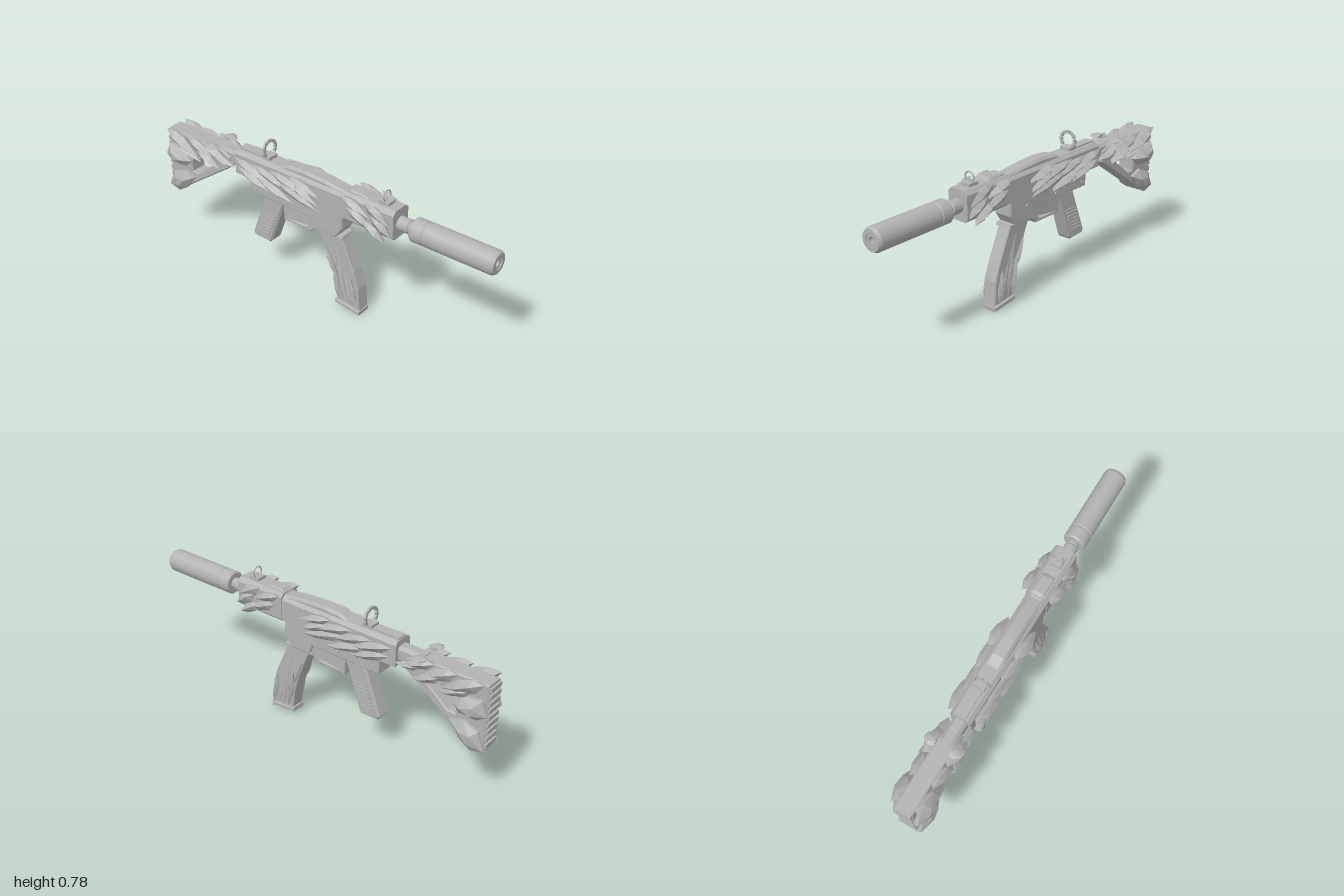
import * as THREE from 'three';
import { ConvexGeometry } from 'three/addons/geometries/ConvexGeometry.js';

export function createModel() {
  const model = new THREE.Group();
  const grey = new THREE.MeshStandardMaterial({ color: 0xb2b2b2, flatShading: true });
  grey.name = 'plain grey';

  const add = (name, geometry, parent = model) => {
    const mesh = new THREE.Mesh(geometry, grey);
    mesh.name = name;
    parent.add(mesh);
    return mesh;
  };
  const group = (name) => {
    const g = new THREE.Group();
    g.name = name;
    model.add(g);
    return g;
  };
  const toShape = (pts) => new THREE.Shape(pts.map(([x, y]) => new THREE.Vector2(x, y)));

  // Side outline extruded symmetrically across z, with bevelled edges
  const slab = (pts, half, bevel = 0.006, holes = []) => {
    const shape = toShape(pts);
    holes.forEach((h) => shape.holes.push(new THREE.Path(h.map(([x, y]) => new THREE.Vector2(x, y)))));
    const g = new THREE.ExtrudeGeometry(shape, {
      depth: 2 * (half - bevel), bevelEnabled: bevel > 0, bevelThickness: bevel,
      bevelSize: bevel, bevelOffset: -bevel, bevelSegments: 1,
    });
    return g.translate(0, 0, -(half - bevel));
  };
  // Chamfered bar running along x
  const bar = (x0, x1, y0, y1, half, top, bottom) => {
    const shape = toShape([
      [-half + bottom, y0], [half - bottom, y0], [half, y0 + bottom], [half, y1 - top],
      [half - top, y1], [-half + top, y1], [-half, y1 - top], [-half, y0 + bottom],
    ]);
    const g = new THREE.ExtrudeGeometry(shape, { depth: x1 - x0, bevelEnabled: false });
    return g.rotateY(Math.PI / 2).translate(x0, 0, 0);
  };
  const box = (w, h, d, x, y, z) => new THREE.BoxGeometry(w, h, d).translate(x, y, z);

  // Faceted feather from (ax, ay) to (bx, by), raised between z0 and z1
  const feather = ([ax, ay, bx, by, width], z0, z1, side) => {
    const dx = bx - ax, dy = by - ay, len = Math.hypot(dx, dy);
    const at = (t, s, z) => new THREE.Vector3(
      ax + dx * t - (dy / len) * s * width, ay + dy * t + (dx / len) * s * width, z * side);
    const mid = z0 + (z1 - z0) * 0.5;
    return new ConvexGeometry([
      at(0, 0, mid), at(0.22, 0.42, mid), at(0.55, 0.5, mid), at(1, 0, mid),
      at(0.65, -0.42, mid), at(0.25, -0.5, mid),
      at(0.3, 0.08, z1), at(0.62, 0.02, z1),
      at(0.12, 0, z0), at(0.4, 0.35, z0), at(0.85, 0, z0), at(0.4, -0.35, z0),
    ]);
  };
  const feathers = (name, list, z0, z1) => {
    const g = group(name);
    for (const side of [1, -1]) {
      list.forEach((f, i) => add('feather', feather(f, z0 + (i % 2) * 0.004, z1 - (i % 3) * 0.006, side), g));
    }
  };
  // Faceted rock-like plate with a smaller raised face
  const chunk = (pts, z0, z1, side) => {
    const cx = pts.reduce((s, p) => s + p[0], 0) / pts.length;
    const cy = pts.reduce((s, p) => s + p[1], 0) / pts.length;
    const v = [];
    pts.forEach(([x, y], i) => {
      v.push(new THREE.Vector3(x, y, side * z0), new THREE.Vector3(x, y, side * (z0 + 0.4 * (z1 - z0))));
      if (i % 2) v.push(new THREE.Vector3(cx + (x - cx) * 0.4, cy + (y - cy) * 0.4, side * z1));
    });
    return new ConvexGeometry(v);
  };

  // Suppressor and barrel, turned around the x axis
  const turned = (pts, sides) => new THREE.LatheGeometry(
    pts.map(([r, x]) => new THREE.Vector2(r, x)), sides).rotateZ(-Math.PI / 2).translate(0, 0.62, 0);
  add('suppressor', turned([
    [0, 0.56], [0.054, 0.56], [0.06, 0.568], [0.06, 0.625], [0.057, 0.628], [0.057, 0.634],
    [0.06, 0.637], [0.06, 0.985], [0.052, 1], [0.03, 1], [0.03, 0.994], [0.016, 0.994], [0.016, 0.95], [0, 0.95],
  ], 28));
  add('barrel', turned([[0.036, 0.45], [0.036, 0.535], [0.03, 0.54], [0.03, 0.57]], 16));

  // Receiver
  add('upperReceiver', bar(-0.5, 0.19, 0.555, 0.685, 0.056, 0.018, 0));
  add('lowerReceiver', slab([[-0.405, 0.475], [0.0, 0.475], [0.02, 0.42], [0.14, 0.42],
    [0.18, 0.48], [0.18, 0.57], [-0.405, 0.57]], 0.052));
  add('handguard', bar(0.19, 0.48, 0.545, 0.7, 0.06, 0.02, 0.016));
  add('handguardCollar', bar(0.17, 0.2, 0.555, 0.69, 0.05, 0.02, 0.01));
  add('topFairing', slab([[-0.24, 0.675], [0.19, 0.675], [0.18, 0.69], [0.07, 0.705],
    [-0.06, 0.712], [-0.16, 0.705]], 0.04, 0.012));
  add('handguardRidge', slab([[0.185, 0.69], [0.34, 0.69], [0.3, 0.71], [0.21, 0.712]], 0.035, 0.008));
  add('rearRail', box(0.15, 0.014, 0.05, -0.42, 0.686, 0));
  for (const side of [1, -1]) {
    add('ejectionSlot', box(0.06, 0.018, 0.008, -0.25, 0.525, side * 0.054));
    for (const x of [-0.37, -0.16, 0.06]) {
      add('pin', new THREE.CylinderGeometry(0.008, 0.008, 0.008, 10).rotateX(Math.PI / 2).translate(x, 0.505, side * 0.054));
    }
    add('handguardSlot', box(0.12, 0.012, 0.008, 0.3, 0.595, side * 0.061));
  }

  // Trigger and its guard
  add('triggerGuard', slab([[-0.2, 0.48], [-0.195, 0.385], [-0.02, 0.385], [0.015, 0.42], [0.015, 0.48]],
    0.04, 0.004, [[[-0.18, 0.475], [-0.035, 0.475], [-0.035, 0.42], [-0.05, 0.402], [-0.18, 0.402]]]));
  add('trigger', slab([[-0.14, 0.48], [-0.115, 0.48], [-0.118, 0.45], [-0.13, 0.42], [-0.145, 0.418], [-0.132, 0.45]], 0.012, 0.002));

  // Pistol grip with side ribs
  add('grip', slab([[-0.315, 0.48], [-0.19, 0.48], [-0.215, 0.42], [-0.285, 0.215], [-0.3, 0.2],
    [-0.4, 0.205], [-0.412, 0.225]], 0.041, 0.01));
  for (let i = 0; i < 7; i++) {
    for (const side of [1, -1]) {
      add('gripRib', box(0.08, 0.009, 0.008, -0.335 + i * 0.0075, 0.255 + i * 0.02, side * 0.042));
    }
  }

  // Curved magazine
  add('magazineCollar', slab([[0.005, 0.415], [0.18, 0.415], [0.175, 0.432], [0.01, 0.432]], 0.046, 0.003));
  add('magazine', slab([[0.025, 0.43], [0.165, 0.43], [0.2, 0.35], [0.245, 0.25], [0.275, 0.16],
    [0.285, 0.03], [0.145, 0.045], [0.13, 0.15], [0.1, 0.25], [0.065, 0.34]], 0.037, 0.005));
  add('magazineBase', slab([[0.135, 0.02], [0.285, 0.002], [0.287, 0.024], [0.137, 0.044]], 0.041, 0.003));
  feathers('magazineFeathers', [
    [0.165, 0.05, 0.13, 0.27, 0.03], [0.2, 0.05, 0.15, 0.32, 0.035], [0.235, 0.045, 0.185, 0.26, 0.035],
    [0.265, 0.04, 0.235, 0.22, 0.03], [0.13, 0.2, 0.075, 0.35, 0.025], [0.19, 0.2, 0.13, 0.38, 0.025],
  ], 0.036, 0.061);

  // Stock: tube, open frame and ribbed butt pad
  add('stockTube', bar(-0.64, -0.49, 0.575, 0.655, 0.036, 0.015, 0.015));
  add('stockFrame', slab([[-0.99, 0.3], [-0.91, 0.3], [-0.87, 0.335], [-0.55, 0.56], [-0.55, 0.62],
    [-0.62, 0.65], [-0.99, 0.65]], 0.047, 0.006,
  [[[-0.83, 0.555], [-0.64, 0.555], [-0.79, 0.44], [-0.83, 0.44]]]));
  for (let i = 0; i < 9; i++) add('buttRib', box(0.014, 0.022, 0.085, -0.993, 0.33 + i * 0.037, 0));

  // Layered feathers over stock, receiver and handguard
  feathers('stockFeathers', [
    [-0.98, 0.66, -0.76, 0.56, 0.07], [-0.92, 0.6, -0.74, 0.535, 0.05], [-0.84, 0.655, -0.64, 0.575, 0.065],
    [-0.76, 0.61, -0.6, 0.545, 0.05], [-0.72, 0.66, -0.54, 0.6, 0.05], [-0.64, 0.61, -0.5, 0.59, 0.04],
    [-0.68, 0.665, -0.6, 0.66, 0.025],
  ], 0.04, 0.1);
  const plates = group('buttPlates');
  for (const side of [1, -1]) {
    add('upperPlate', chunk([[-1, 0.5], [-0.95, 0.465], [-0.86, 0.47], [-0.82, 0.51], [-0.87, 0.56], [-0.97, 0.57]], 0.044, 0.1, side), plates);
    add('lowerPlate', chunk([[-1, 0.31], [-0.93, 0.29], [-0.87, 0.33], [-0.81, 0.41], [-0.88, 0.435], [-0.96, 0.4]], 0.044, 0.087, side), plates);
  }
  feathers('receiverFeathers', [
    [-0.49, 0.66, -0.24, 0.585, 0.05], [-0.47, 0.61, -0.26, 0.54, 0.045], [-0.38, 0.655, -0.12, 0.585, 0.05],
    [-0.34, 0.6, -0.1, 0.535, 0.045], [-0.26, 0.665, 0.0, 0.6, 0.05], [-0.22, 0.615, 0.05, 0.545, 0.05],
    [-0.13, 0.675, 0.06, 0.625, 0.045], [-0.12, 0.64, 0.05, 0.575, 0.045],
  ], 0.052, 0.102);
  feathers('handguardFeathers', [
    [0.19, 0.695, 0.36, 0.635, 0.045], [0.22, 0.64, 0.38, 0.575, 0.05], [0.32, 0.7, 0.47, 0.62, 0.06],
    [0.32, 0.61, 0.45, 0.53, 0.05], [0.36, 0.65, 0.48, 0.57, 0.06],
  ], 0.055, 0.102);

  // Rear sight: broken ring of shards
  const rear = group('rearSight');
  add('rearSightBase', box(0.05, 0.02, 0.06, -0.315, 0.692, 0), rear);
  for (let i = 0; i < 9; i++) {
    const a = -0.5 + (i / 8) * (Math.PI + 1);
    const shard = slab([[-0.011, -0.006], [0.009, -0.008], [0.012, 0.004], [0.003, 0.009], [-0.009, 0.006]], 0.006, 0);
    shard.rotateZ(a + Math.PI / 2).translate(Math.cos(a) * 0.043, Math.sin(a) * 0.043, 0);
    add('sightShard', shard.rotateY(Math.PI / 2).translate(-0.315, 0.735, 0), rear);
  }

  // Front sight: ring with a pointed post
  const front = group('frontSight');
  add('frontSightBase', box(0.06, 0.02, 0.055, 0.4, 0.705, 0), front);
  add('frontSightRing', new THREE.TorusGeometry(0.027, 0.004, 6, 20).rotateY(Math.PI / 2).translate(0.4, 0.736, 0), front);
  add('frontSightPost', new THREE.ConeGeometry(0.006, 0.03, 6).translate(0.4, 0.724, 0), front);
  return model;
}
